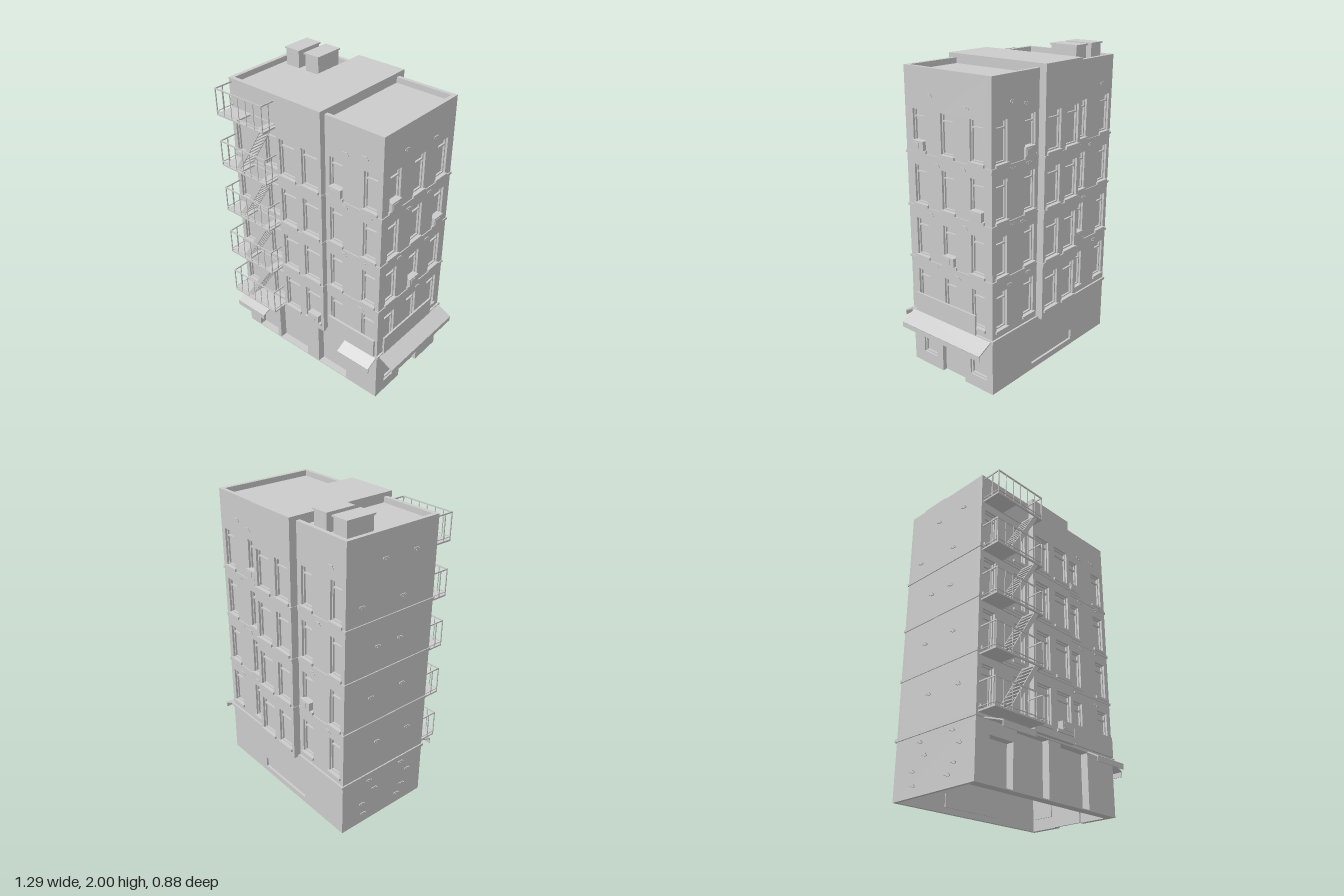
import * as THREE from 'three';

const mat = new THREE.MeshStandardMaterial({ color: 0xcccccc, flatShading: true });
const X0 = -0.64, X1 = 0.53, Z0 = -0.385, Z1 = 0.287, TOP = 1.92, T = 0.026;
const FLOORS = [0.42, 0.76, 1.1, 1.435], WIN_H = 0.24, BASE = 0.36;

function add(parent, name, geometry) {
  const m = new THREE.Mesh(geometry, mat);
  m.name = name;
  parent.add(m);
  return m;
}

// Box given by its limits on each axis
function box(parent, name, xa, xb, ya, yb, za, zb) {
  const m = add(parent, name, new THREE.BoxGeometry(xb - xa, yb - ya, zb - za));
  m.position.set((xa + xb) / 2, (ya + yb) / 2, (za + zb) / 2);
  return m;
}

// Thin bar between two points, lying in the xy plane
function slant(parent, name, xa, ya, xb, yb, thick, za, zb) {
  const len = Math.hypot(xb - xa, yb - ya);
  const m = add(parent, name, new THREE.BoxGeometry(len, thick, zb - za));
  m.position.set((xa + xb) / 2, (ya + yb) / 2, (za + zb) / 2);
  m.rotation.z = Math.atan2(yb - ya, xb - xa);
  return m;
}

// Group whose local z points outward from a wall
function facade(root, name, x, z, turn) {
  const g = new THREE.Group();
  g.name = name;
  g.position.set(x, 0, z);
  g.rotation.y = turn;
  root.add(g);
  return g;
}

// Wall plate with rectangular holes [xa, xb, ya, yb]
function wall(g, name, xa, xb, ya, yb, holes, depth = T) {
  const s = new THREE.Shape([[xa, ya], [xb, ya], [xb, yb], [xa, yb]].map(p => new THREE.Vector2(...p)));
  for (const [a, b, c, d] of holes)
    s.holes.push(new THREE.Path([[a, c], [a, d], [b, d], [b, c]].map(p => new THREE.Vector2(...p))));
  const geo = new THREE.ExtrudeGeometry(s, { depth, bevelEnabled: false });
  geo.translate(0, 0, -depth);
  add(g, name, geo);
}

// Sash frame, upper rail and sill of one window
function windowTrim(g, a, b, y, z = 0) {
  const t = y + WIN_H, back = z - T, f = 0.008;
  for (const x of [a, b - f]) box(g, 'windowFrame', x, x + f, y, t, back, back + 0.012);
  box(g, 'windowFrame', a, b, t - f, t, back, back + 0.012);
  box(g, 'windowFrame', a, b, y, y + f, back, back + 0.012);
  box(g, 'windowRail', a, b, t - 0.052, t - 0.042, back, back + 0.012);
  box(g, 'windowSill', a - 0.008, b + 0.008, y - 0.018, y, z - 0.01, z + 0.012);
}

function windowedWall(g, name, xa, xb, yTop, columns) {
  const holes = [];
  for (const y of FLOORS) for (const [a, b] of columns) {
    holes.push([a, b, y, y + WIN_H]);
    windowTrim(g, a, b, y);
  }
  wall(g, name, xa, xb, BASE, yTop, holes);
}

function airConditioner(g, x, y) {
  box(g, 'airConditioner', x - 0.044, x + 0.044, y, y + 0.055, -0.03, 0.018);
  box(g, 'airConditionerGrille', x - 0.034, x + 0.012, y + 0.01, y + 0.045, 0.018, 0.021);
}

// Sloping canopy with a hanging flap
function awning(g, xa, xb, y, depth, drop, flap) {
  const arm = new THREE.Group();
  arm.name = 'awning';
  arm.rotation.y = -Math.PI / 2;
  g.add(arm);
  slant(arm, 'awningTop', 0, y, depth, y - drop, 0.008, -xb, -xa);
  box(arm, 'awningFlap', depth - 0.006, depth, y - drop - flap, y - drop + 0.003, -xb, -xa);
}

// Exposed brick patches
let seed = 7;
const rnd = () => (seed = (seed * 16807) % 2147483647) / 2147483647;
function bricks(g, xa, xb, rows, count) {
  for (const y of rows) for (let i = 0; i < count; i++) {
    const x = xa + (xb - xa) * (i + 0.15 + 0.6 * rnd()) / count, v = y + 0.05 * rnd();
    box(g, 'brickPatch', x, x + 0.035, v, v + 0.01, -0.002, 0.005);
    box(g, 'brickPatch', x + 0.018, x + 0.045, v - 0.009, v + 0.001, -0.002, 0.005);
  }
}

// One landing with its railing; optional stair opening
function landing(g, y, opening) {
  const a = -0.625, b = -0.24, za = Z1, zb = 0.415, h = 0.165;
  if (opening) {
    box(g, 'landing', a, -0.465, y - 0.01, y, za, zb);
    box(g, 'landing', -0.305, b, y - 0.01, y, za, zb);
    box(g, 'landing', -0.465, -0.305, y - 0.01, y, za, 0.295);
    box(g, 'landing', -0.465, -0.305, y - 0.01, y, 0.405, zb);
  } else box(g, 'landing', a, b, y - 0.01, y, za, zb);
  const r = 0.006;
  for (const [ry, rh] of [[y + h - 0.008, 0.008], [y + 0.015, 0.004]]) {
    box(g, 'handrail', a, b, ry, ry + rh, zb - r, zb);
    for (const x of [a, b - r]) box(g, 'handrail', x, x + r, ry, ry + rh, za, zb);
  }
  for (let i = 0; i <= 6; i++) {
    const x = a + (b - a - r) * i / 6, w = i % 6 ? 0.004 : r;
    box(g, 'baluster', x, x + w, y, y + h, zb - w, zb);
  }
  for (const x of [a, b - r]) box(g, 'baluster', x, x + r, y, y + h, 0.355, 0.361);
}

function fireEscape(root) {
  const g = new THREE.Group();
  g.name = 'fireEscape';
  root.add(g);
  const levels = [0.385, 0.717, 1.055, 1.39, 1.735];
  levels.forEach((y, i) => {
    landing(g, y, i > 0);
    if (i === 4) return;
    const top = levels[i + 1], n = 11;
    for (const z of [0.296, 0.398]) slant(g, 'stairStringer', -0.495, y, -0.285, top, 0.03, z, z + 0.006);
    for (let k = 1; k < n; k++) {
      const x = -0.495 + 0.21 * k / n, ty = y + (top - y) * k / n;
      box(g, 'stairTread', x - 0.014, x + 0.014, ty - 0.003, ty + 0.003, 0.298, 0.402);
    }
  });
}

export function createModel() {
  const root = new THREE.Group();
  root.name = 'apartmentBuilding';

  // Inner cores form the window panes and the roof inside the parapet
  box(root, 'mainCore', X0 + T, X1 - T, BASE, 1.885, Z0 + T, Z1 - T);
  box(root, 'bayCore', -0.23, 0.12, 0.37, 1.945, -0.433 + T, 0.325 - T);
  box(root, 'ledge', X0 - 0.008, X1 + 0.012, 0.352, 0.37, Z0 - 0.012, Z1 + 0.008);

  const front = facade(root, 'frontWall', 0, Z1, 0);
  const back = facade(root, 'backWall', 0, Z0, Math.PI);
  const right = facade(root, 'rightWall', X1, 0, -Math.PI / 2 + Math.PI);
  const left = facade(root, 'leftWall', X0, 0, -Math.PI / 2);
  const bayFront = facade(root, 'frontBay', 0, 0.325, 0);
  const bayBack = facade(root, 'backBay', 0, -0.433, Math.PI);

  // Upper floors
  const mirror = cols => cols.map(([a, b]) => [-b, -a]);
  const outer = [[-0.61, -0.515], [-0.36, -0.265], [0.152, 0.247], [0.4, 0.495]];
  const inner = [[-0.205, -0.085], [-0.03, 0.095]];
  windowedWall(front, 'brickwork', X0, X1, TOP, outer);
  windowedWall(back, 'brickwork', -X1, -X0, TOP, mirror(outer));
  windowedWall(bayFront, 'brickwork', -0.23, 0.12, 1.945, inner);
  windowedWall(bayBack, 'brickwork', -0.12, 0.23, 1.945, mirror(inner));
  windowedWall(right, 'brickwork', -Z1 + T, -Z0 - T, TOP, [-0.175, 0.05, 0.275].map(c => [c - 0.05, c + 0.05]));
  wall(left, 'brickwork', Z0 + T, Z1 - T, BASE, TOP, []);

  // Bands under each floor of windows, and roof trim
  for (const y of FLOORS.slice(1)) {
    box(root, 'floorBand', X0 - 0.006, X1 + 0.006, y - 0.034, y - 0.018, Z0 - 0.006, Z1 + 0.006);
    box(root, 'bayBand', -0.233, 0.123, y - 0.034, y - 0.018, -0.439, 0.331);
  }

  // Ground floor: open underneath, recessed shopfront between piers
  const G = 0.355, deep = 0.05;
  wall(back, 'groundWall', -X1, -X0, 0, G, [[-0.155, 0.27, 0.04, 0.11]], 0.02);
  box(back, 'loadingPanel', -0.16, 0.275, 0.035, 0.115, -0.026, -0.015);
  wall(left, 'groundWall', Z0 + 0.02, Z1, 0, G, [], 0.02);
  box(front, 'shopfront', X0 + 0.01, X1 - 0.01, 0, G, -deep - 0.012, -deep);
  for (const [a, b] of [[X0 + 0.02, -0.54], [-0.36, -0.33], [-0.07, 0.035], [0.28, X1 - 0.02]])
    box(front, 'pier', a, b, 0, G, -deep, 0);
  box(front, 'doorHeader', -0.54, -0.36, 0.27, G, -deep, 0);
  for (const [a, b] of [[-0.54, -0.36], [-0.33, -0.07], [0.035, 0.28]])
    box(front, 'doorStep', a, b, 0, 0.006, -deep, 0);

  // Right side: two shop windows flanking a recessed doorway
  const shop = [[-0.2, -0.085, 0.08, 0.28], [0.205, 0.34, 0.08, 0.28]];
  wall(right, 'groundWall', -Z1, -0.035, 0, G, [shop[0]], 0.03);
  wall(right, 'groundWall', 0.16, -Z0 - 0.02, 0, G, [shop[1]], 0.03);
  box(right, 'doorway', -0.04, 0.165, 0, G, -0.042, -0.03);
  box(right, 'doorHeader', -0.035, 0.16, 0.28, G, -0.03, 0);
  for (const [a, b, c, d] of shop) {
    box(right, 'shopPane', a - 0.005, b + 0.005, c - 0.005, d + 0.005, -0.036, -0.026);
    box(right, 'shopFrame', a, b, c, c + 0.01, -0.026, -0.012);
    for (const x of [a, b - 0.01]) box(right, 'shopFrame', x, x + 0.01, c, d, -0.026, -0.012);
  }

  // Awnings and blank fascia boards
  awning(front, -0.585, -0.335, 0.355, 0.148, 0.05, 0.034);
  awning(front, 0.275, 0.528, 0.36, 0.085, 0.045, 0.03);
  awning(right, -0.275, 0.38, 0.365, 0.114, 0.055, 0.032);
  box(front, 'fasciaBoard', 0.145, 0.515, 0.37, 0.5, 0.004, 0.02);
  box(right, 'fasciaBoard', -0.24, 0.265, 0.37, 0.5, 0.008, 0.02);

  // Air conditioners
  airConditioner(front, 0.2, FLOORS[3]);
  airConditioner(bayFront, 0.04, FLOORS[0]);
  airConditioner(right, -0.175, FLOORS[3]);
  airConditioner(right, 0.275, FLOORS[2]);
  airConditioner(right, 0.05, FLOORS[1]);
  airConditioner(back, -0.21, FLOORS[3]);
  airConditioner(back, 0.3, FLOORS[1]);

  // Brick patches
  const rows = [0.68, 1.02, 1.36, 1.72];
  bricks(front, 0.13, 0.5, rows, 2);
  bricks(back, -0.5, -0.15, rows, 2);
  bricks(back, 0.25, 0.6, rows, 1);
  bricks(right, -0.27, 0.34, rows, 2);
  bricks(left, -0.35, 0.24, [0.05, 0.12, 0.2, 0.28, 0.56, 0.9, 1.2, 1.5, 1.75], 2);

  // Roof vents
  for (const x of [-0.5225, -0.3625]) {
    box(root, 'roofVent', x - 0.052, x + 0.052, 1.88, 1.99, -0.328, -0.142);
    box(root, 'roofVentCap', x - 0.059, x + 0.059, 1.99, 2, -0.335, -0.135);
  }

  fireEscape(root);
  return root;
}
